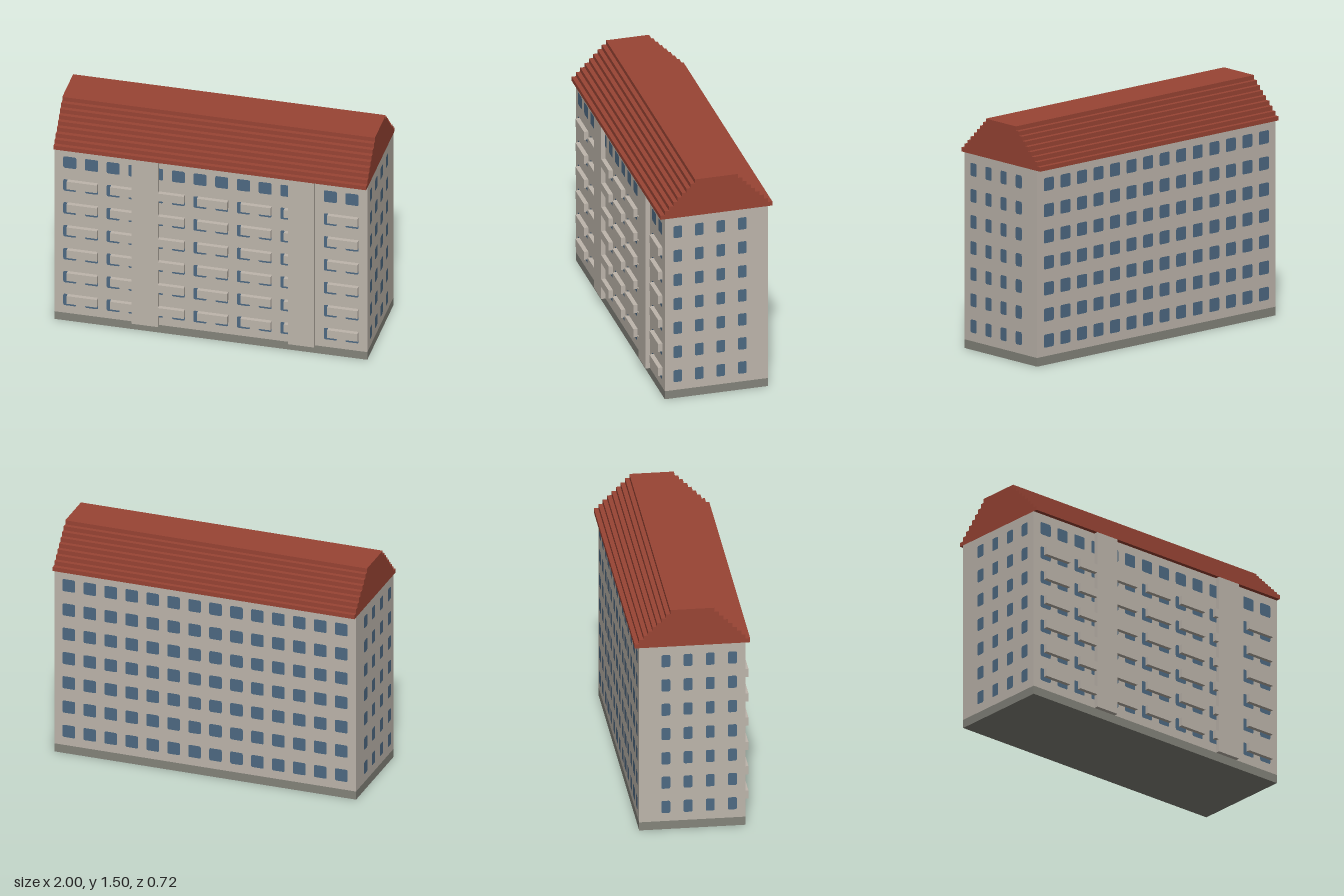
import * as THREE from 'three';

// Everything sits on a regular module: the block is 72 modules long.
const U = 1 / 36;
const HALF_L = 36, HALF_D = 12, BASE_TOP = 2, WALL_TOP = 45, ROOF_STEPS = 9;

export function createModel() {
  const model = new THREE.Group();
  model.name = 'apartmentBlock';

  const mat = (name, color) => {
    const m = new THREE.MeshStandardMaterial({ color });
    m.name = name;
    return m;
  };
  const wall = mat('wall plaster', 0xbdb5ab);
  const plinth = mat('plinth grey', 0x83837a);
  const glass = mat('window blue', 0x4d6982);
  const tile = mat('roof red', 0x994434);

  // Box given by its limits in modules
  const box = (name, x0, x1, y0, y1, z0, z1, material, parent = model) => {
    const mesh = new THREE.Mesh(
      new THREE.BoxGeometry((x1 - x0) * U, (y1 - y0) * U, (z1 - z0) * U), material);
    mesh.position.set((x0 + x1) / 2 * U, (y0 + y1) / 2 * U, (z0 + z1) / 2 * U);
    mesh.name = name;
    parent.add(mesh);
  };
  const group = (name) => {
    const g = new THREE.Group();
    g.name = name;
    model.add(g);
    return g;
  };

  // Body
  box('plinth', -HALF_L, HALF_L, 0, BASE_TOP, -HALF_D, HALF_D, plinth);
  box('walls', -HALF_L, HALF_L, BASE_TOP, WALL_TOP, -HALF_D, HALF_D, wall);

  // Stair bays projecting from the front
  for (const x of [-18, 18]) {
    box('stairBay', x, x + 6, BASE_TOP, WALL_TOP, HALF_D, HALF_D + 1, wall);
  }

  // Balconies on the six lower storeys
  const balconies = group('balconies');
  for (let row = 0; row < 6; row++) {
    for (let k = 0; k < 7; k++) {
      const x = -33 + 10 * k, y = 5 + 6 * row;
      box('balcony', x, x + 7, y, y + 2, HALF_D, HALF_D + 1, wall, balconies);
    }
  }

  // Stepped roof: one stair profile extruded along the length
  const profile = new THREE.Shape();
  const right = [];
  for (let i = 0; i < ROOF_STEPS; i++) {
    const w = (HALF_D + 1 - i) * U;
    right.push([w, (WALL_TOP + i) * U], [w, (WALL_TOP + i + 1) * U]);
  }
  const left = right.map(([x, y]) => [-x, y]).reverse();
  profile.setFromPoints([...right, ...left].map(([x, y]) => new THREE.Vector2(x, y)));
  const roofGeo = new THREE.ExtrudeGeometry(profile, { depth: 2 * HALF_L * U, bevelEnabled: false });
  roofGeo.translate(0, 0, -HALF_L * U);
  roofGeo.rotateY(Math.PI / 2);
  const roof = new THREE.Mesh(roofGeo, tile);
  roof.name = 'roof';
  model.add(roof);

  // Window pane with softened corners, facing +z
  const pane = (w, h) => {
    const a = w * U / 2, b = h * U / 2, r = 0.011;
    const s = new THREE.Shape();
    s.moveTo(-a + r, -b);
    s.lineTo(a - r, -b); s.quadraticCurveTo(a, -b, a, -b + r);
    s.lineTo(a, b - r); s.quadraticCurveTo(a, b, a - r, b);
    s.lineTo(-a + r, b); s.quadraticCurveTo(-a, b, -a, b - r);
    s.lineTo(-a, -b + r); s.quadraticCurveTo(-a, -b, -a + r, -b);
    return new THREE.ShapeGeometry(s, 3);
  };
  const widePane = pane(3, 3), narrowPane = pane(2, 3);
  const windows = group('windows');
  const addWindow = (name, geo, x, y, z, turn) => {
    const mesh = new THREE.Mesh(geo, glass);
    mesh.position.set(x, y, z);
    mesh.rotation.y = turn;
    mesh.name = name;
    windows.add(mesh);
  };

  // Seven storeys of windows on all four sides
  const gap = 0.002;
  for (let row = 0; row < 7; row++) {
    const y = (5.5 + 6 * row) * U;
    for (let i = 0; i < 14; i++) {
      const x = (-32.5 + 5 * i) * U;
      addWindow('frontWindow', widePane, x, y, HALF_D * U + gap, 0);
      addWindow('backWindow', widePane, x, y, -HALF_D * U - gap, Math.PI);
    }
    for (let i = 0; i < 4; i++) {
      const z = (9 - 5 * i) * U;
      addWindow('leftWindow', narrowPane, HALF_L * U + gap, y, z, Math.PI / 2);
      addWindow('rightWindow', narrowPane, -HALF_L * U - gap, y, z, -Math.PI / 2);
    }
  }

  return model;
}
